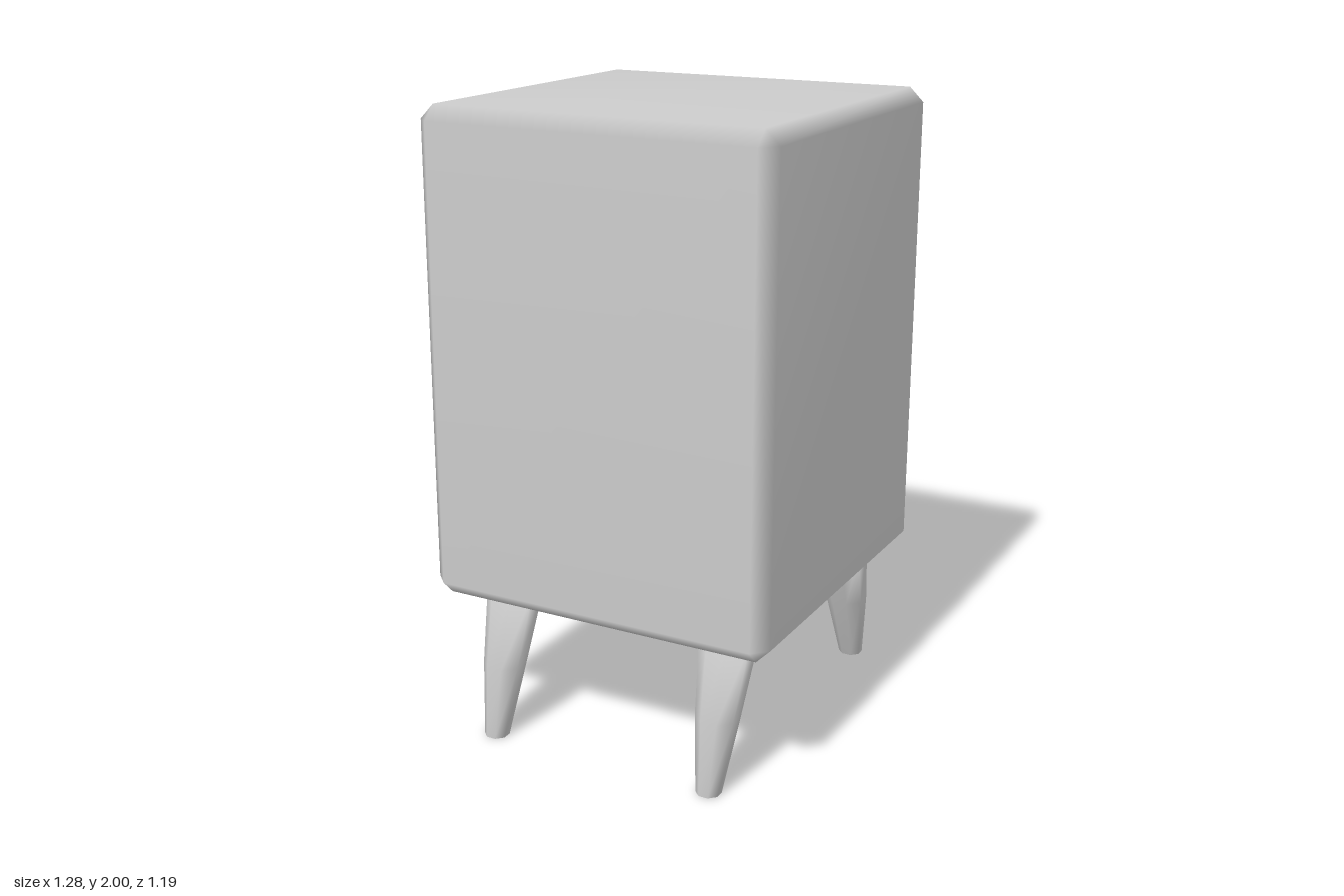
import * as THREE from 'three';
import { mergeVertices } from 'three/addons/utils/BufferGeometryUtils.js';
import { ConvexGeometry } from 'three/addons/geometries/ConvexGeometry.js';

const material = new THREE.MeshStandardMaterial({ color: 0xcccccc });
const SIDES = 8;

// Box with a single chamfer on every edge, shaded smoothly
function chamferedBox(w, h, d, c) {
  const points = [];
  const [x, y, z] = [w / 2, h / 2, d / 2];
  for (const sx of [-1, 1]) for (const sy of [-1, 1]) for (const sz of [-1, 1]) {
    points.push(
      new THREE.Vector3(sx * x, sy * (y - c), sz * (z - c)),
      new THREE.Vector3(sx * (x - c), sy * y, sz * (z - c)),
      new THREE.Vector3(sx * (x - c), sy * (y - c), sz * z));
  }
  const hull = new ConvexGeometry(points);
  hull.deleteAttribute('normal');
  const geometry = mergeVertices(hull, 1e-4);
  geometry.computeVertexNormals();
  return geometry;
}

// Closed eight-sided loft; each ring has a centre c and two half-axes u and w
function loft(rings) {
  const positions = [], index = [];
  const k = 1 / Math.cos(Math.PI / SIDES);
  for (const { c, u, w } of rings) {
    for (let j = 0; j < SIDES; j++) {
      const a = ((j + 0.5) / SIDES) * Math.PI * 2;
      for (let n = 0; n < 3; n++) positions.push(c[n] + k * (u[n] * Math.cos(a) + w[n] * Math.sin(a)));
    }
  }
  for (let i = 0; i < rings.length - 1; i++) {
    for (let j = 0; j < SIDES; j++) {
      const a = i * SIDES + j, b = i * SIDES + (j + 1) % SIDES;
      index.push(a, a + SIDES, b, b, a + SIDES, b + SIDES);
    }
  }
  const last = (rings.length - 1) * SIDES;
  for (let j = 1; j < SIDES - 1; j++) {
    index.push(0, j, j + 1, last, last + j + 1, last + j);
  }
  const geometry = new THREE.BufferGeometry();
  geometry.setAttribute('position', new THREE.Float32BufferAttribute(positions, 3));
  geometry.setIndex(index);
  geometry.computeVertexNormals();
  return geometry;
}

export function createModel() {
  const group = new THREE.Group();
  const add = (name, geometry) => {
    const mesh = new THREE.Mesh(geometry, material);
    mesh.name = name;
    group.add(mesh);
    return mesh;
  };

  // Cabinet body
  add('body', chamferedBox(1.168, 1.55, 1.168, 0.046)).position.set(0.056, 1.225, -0.008);

  // Four tapered legs, splayed to the front and back: [height, radius, z]
  const legProfile = [[0, 0.037, 0.556], [0.23, 0.064, 0.499], [0.46, 0.084, 0.428]];
  for (const [side, x] of [['Right', -0.308], ['Left', 0.457]]) {
    for (const [end, s] of [['front', 1], ['back', -1]]) {
      add(`${end}${side}Leg`, loft(legProfile.map(([y, r, z]) => (
        { c: [x, y, s * z], u: [r, 0, 0], w: [0, 0, r] }))));
    }
  }

  // Bowed door handle: [x, y, u.x, u.y], with mitred corners
  const handlePath = [
    [-0.52, 1.65, 0, 0.021],
    [-0.605, 1.65, -0.015, 0.021],
    [-0.623, 1.435, -0.017, 0],
    [-0.605, 1.22, -0.015, -0.021],
    [-0.52, 1.22, 0, -0.021],
  ];
  add('handle', loft(handlePath.map(([x, y, ux, uy]) => (
    { c: [x, y, -0.347], u: [ux, uy, 0], w: [0, 0, 0.021] }))));

  return group;
}
